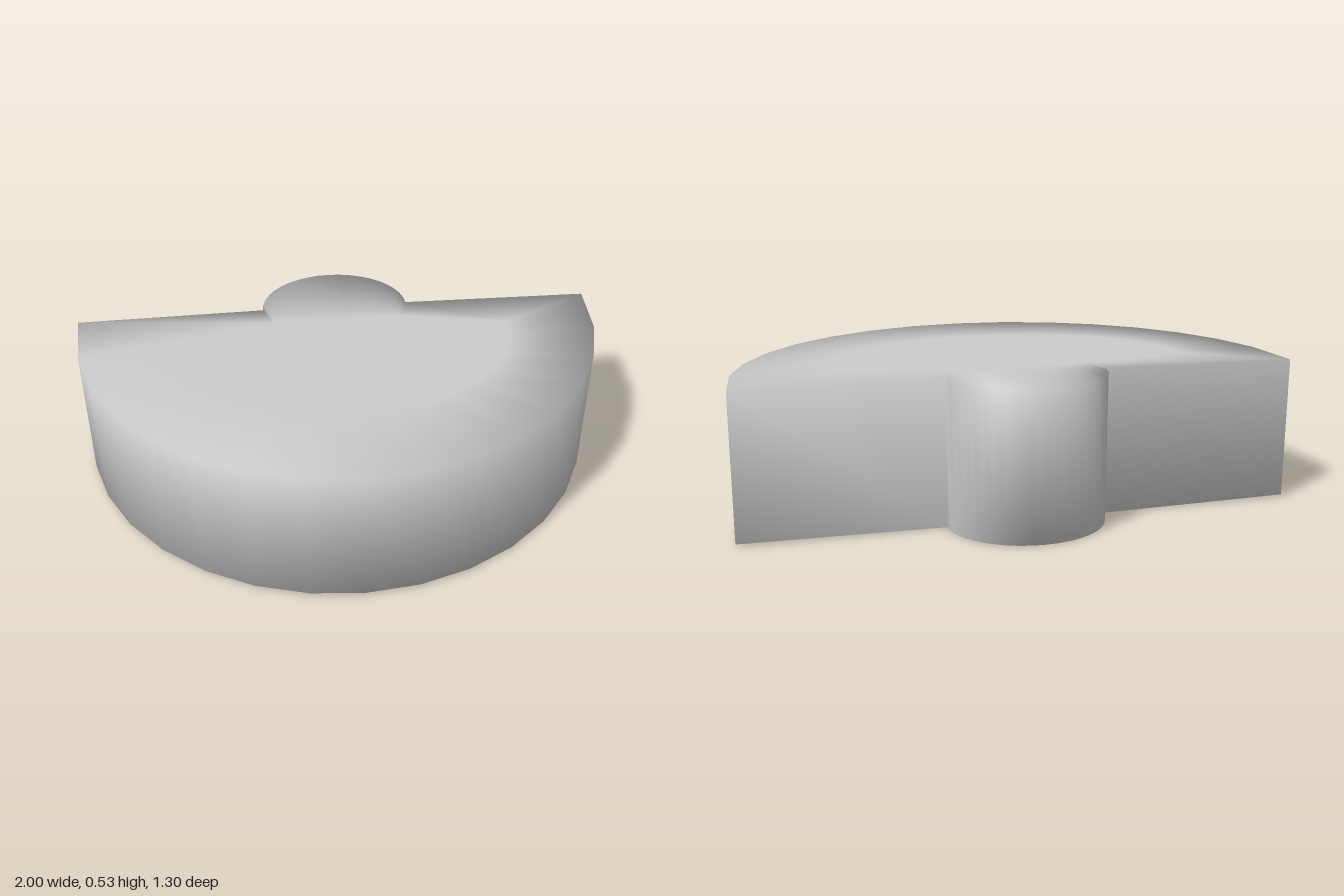
import * as THREE from 'three';

const TOP = 0.533, RIM_DROP = 0.008;

// Outline in plan: half disc in front, round knob behind. Each entry holds the rim point and its inset partner.
function makeOutline() {
  const points = [];
  const steps = 16;
  for (let k = 0; k <= steps; k++) {
    const a = (k / steps) * Math.PI;
    const end = k === 0 || k === steps;
    const x = Math.cos(a), z = end ? -0.405 : -0.35 + Math.sin(a);
    points.push({ x, z, ix: x * 0.65, iz: -0.22 + (z + 0.4) * 0.5, drop: RIM_DROP });
  }
  const knobSteps = 20;
  for (let k = 0; k <= knobSteps; k++) {
    const a = (k / knobSteps) * Math.PI;
    const x = -0.283 * Math.cos(a);
    points.push({ x, z: -0.405 - 0.248 * Math.sin(a), ix: x * 0.88, iz: -0.31, drop: 0 });
  }
  return points;
}

export function createModel() {
  const outline = makeOutline(), n = outline.length;

  // Rings from the top hub over the rim and wall to the bottom hub
  const rings = [
    () => [0, TOP, 0],
    p => [p.ix, TOP, p.iz],
    p => [p.x, TOP - p.drop, p.z],
    p => [p.x, p.drop, p.z],
    p => [p.ix, 0, p.iz],
    () => [0, 0, 0],
  ];
  const positions = rings.flatMap(ring => outline.flatMap(ring));

  const index = [];
  for (let r = 0; r < rings.length - 1; r++) {
    for (let i = 0; i < n; i++) {
      const j = (i + 1) % n;
      const a = r * n + i, b = r * n + j, c = a + n, d = b + n;
      if (r > 0) index.push(a, b, c);
      if (r < rings.length - 2) index.push(b, d, c);
      else index[index.length - 1] = c;
      if (r === 0) index.splice(-3, 3, b, d, c);
    }
  }

  // Shared vertices give the soft shading across rim and wall
  const geometry = new THREE.BufferGeometry();
  geometry.setAttribute('position', new THREE.Float32BufferAttribute(positions, 3));
  geometry.setIndex(index);
  geometry.computeVertexNormals();

  const body = new THREE.Mesh(geometry, new THREE.MeshStandardMaterial({ color: 0xcccccc }));
  body.name = 'halfDiscWithKnob';
  const group = new THREE.Group();
  group.name = 'halfDiscBlock';
  group.add(body);
  return group;
}
